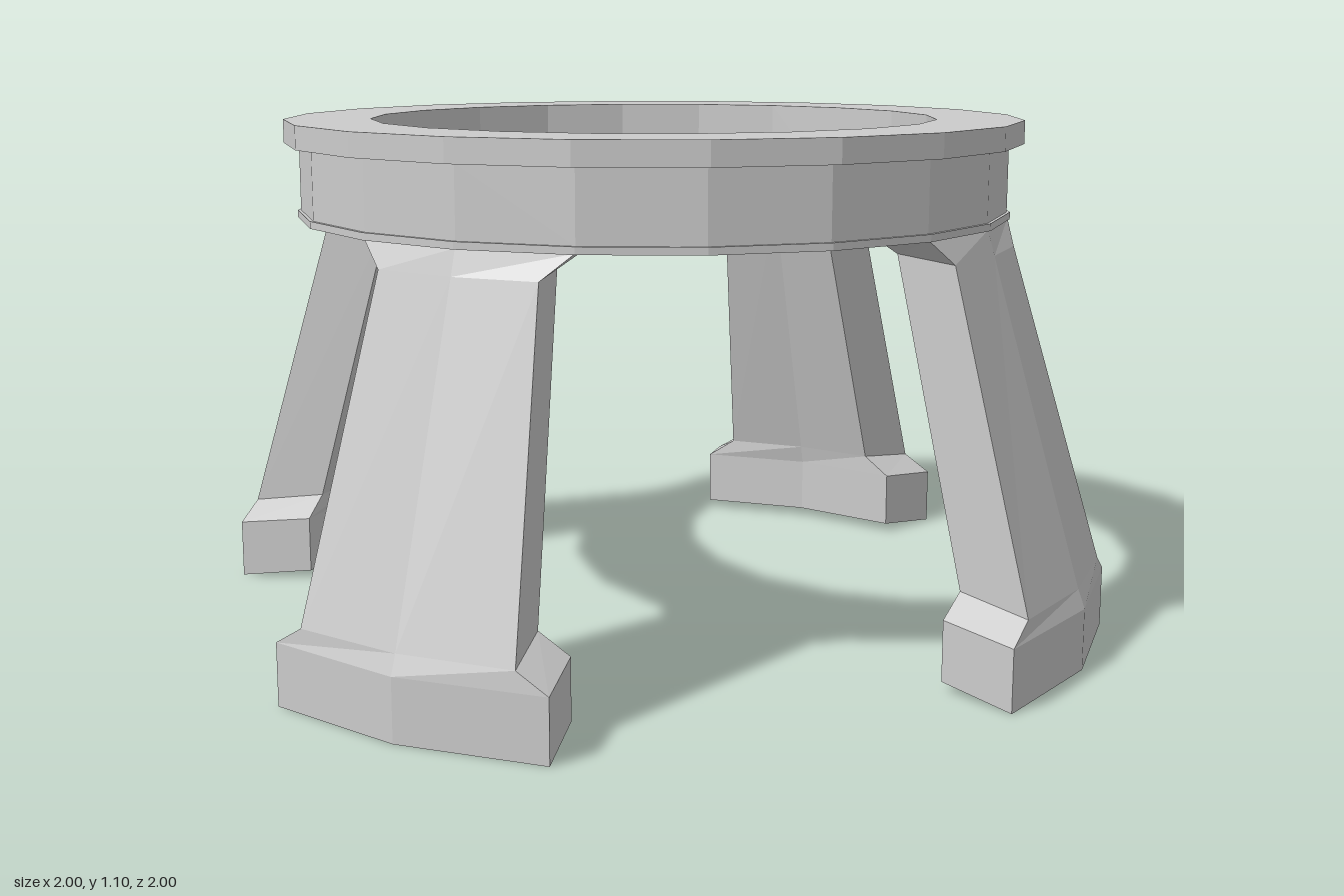
import * as THREE from 'three';

const SPAN = Math.PI / 5; // each leg covers two of the ring's twenty sides

// Point at an angle and radius, shifted sideways along the tangent
function polar(a, r, y, shift = 0) {
  return [r * Math.sin(a) + shift * Math.cos(a), y, r * Math.cos(a) - shift * Math.sin(a)];
}

// Six-cornered bent section: outer edge, then inner edge back
function section([ro, yo, ri, yi, inset]) {
  return [
    polar(0, ro, yo, inset), polar(SPAN / 2, ro, yo), polar(SPAN, ro, yo, -inset),
    polar(SPAN, ri, yi, -inset), polar(SPAN / 2, ri, yi), polar(0, ri, yi, inset),
  ];
}

// Loft through the sections, with both ends closed
function loft(levels) {
  const rows = levels.map(section);
  const pos = [];
  const quad = (a, b, c, d) => pos.push(...a, ...b, ...c, ...a, ...c, ...d);
  for (let k = 0; k < rows.length - 1; k++) {
    for (let i = 0; i < 6; i++) {
      const j = (i + 1) % 6;
      quad(rows[k][i], rows[k][j], rows[k + 1][j], rows[k + 1][i]);
    }
  }
  const b = rows[0], t = rows[rows.length - 1];
  quad(b[5], b[4], b[1], b[0]);
  quad(b[4], b[3], b[2], b[1]);
  quad(t[0], t[1], t[4], t[5]);
  quad(t[1], t[2], t[3], t[4]);
  const g = new THREE.BufferGeometry();
  g.setAttribute('position', new THREE.Float32BufferAttribute(pos, 3));
  g.computeVertexNormals();
  return g;
}

export function createModel() {
  const group = new THREE.Group();
  const mat = new THREE.MeshStandardMaterial({ color: 0xcccccc, flatShading: true });

  // Ring with a top rim and a thin lower lip
  const profile = [
    [0.615, 0.89], [0.775, 0.89], [0.775, 0.905], [0.768, 0.905], [0.768, 1.05],
    [0.8, 1.05], [0.8, 1.1], [0.615, 1.1], [0.615, 0.89],
  ].map(([x, y]) => new THREE.Vector2(x, y));
  const ring = new THREE.Mesh(new THREE.LatheGeometry(profile, 20), mat);
  ring.name = 'seatRing';
  group.add(ring);

  // Legs: outer radius and height, inner radius and height, side inset
  const foot = loft([
    [1, 0, 0.83, 0.02, 0],
    [1, 0.13, 0.83, 0.147, 0],
    [0.985, 0.17, 0.82, 0.19, 0.065],
  ]);
  const shaft = loft([
    [0.985, 0.17, 0.82, 0.19, 0.065],
    [0.785, 0.84, 0.64, 0.85, 0.065],
    [0.77, 0.892, 0.62, 0.892, 0],
  ]);
  ['front', 'left', 'back', 'right'].forEach((side, i) => {
    const leg = new THREE.Group();
    leg.name = side + 'Leg';
    const f = new THREE.Mesh(foot, mat);
    f.name = side + 'Foot';
    const s = new THREE.Mesh(shaft, mat);
    s.name = side + 'Shaft';
    leg.add(f, s);
    leg.rotation.y = i * Math.PI / 2;
    group.add(leg);
  });
  return group;
}
